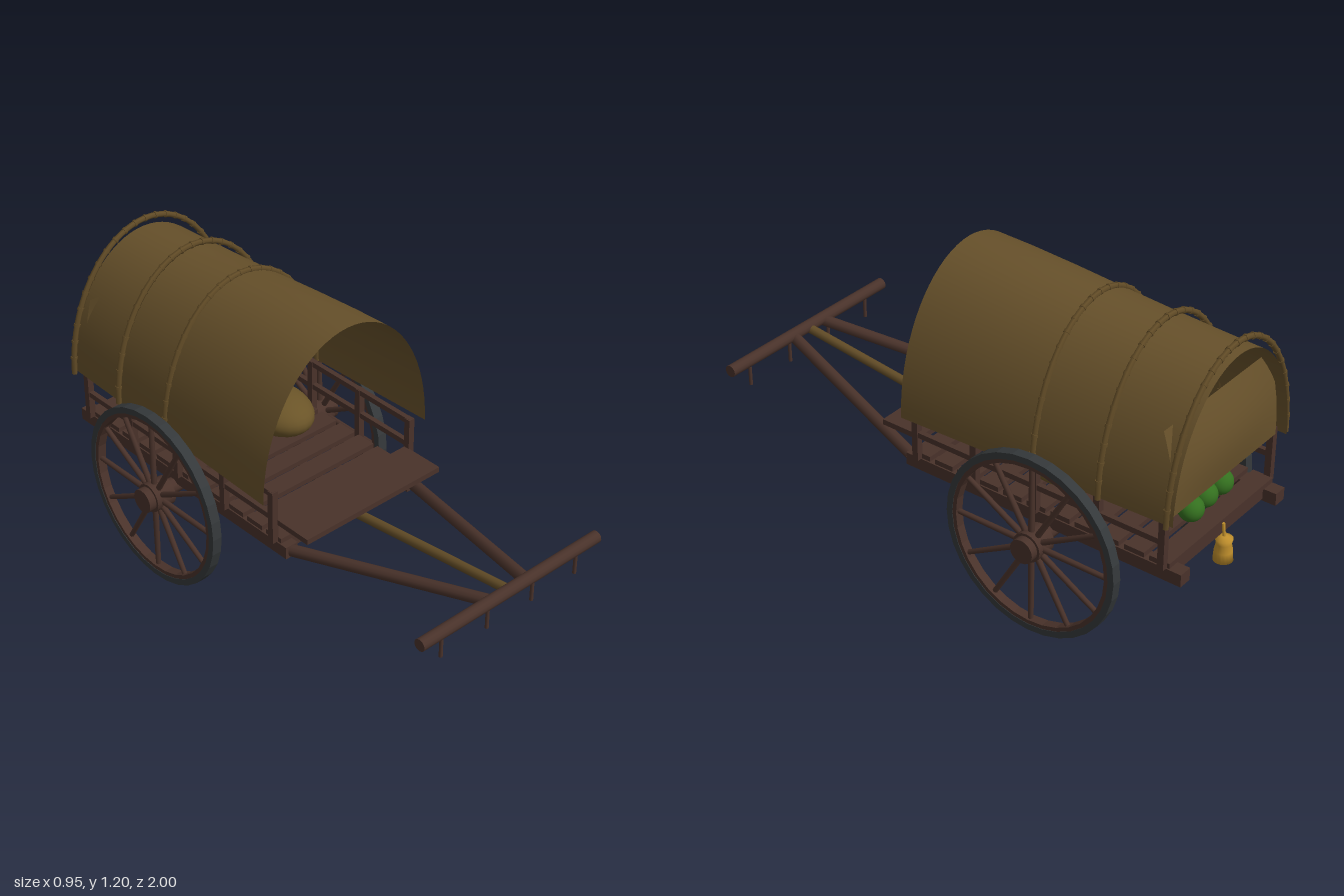
import * as THREE from 'three';

const mat = (name, color, double = false) => {
  const m = new THREE.MeshStandardMaterial({ color });
  m.name = name;
  if (double) m.side = THREE.DoubleSide;
  return m;
};

export function createModel() {
  const cart = new THREE.Group();
  cart.name = 'coveredCart';
  const wood = mat('darkWood', 0x49322a);
  const iron = mat('tyreIron', 0x34383a);
  const cloth = mat('canvas', 0x66502a, true);
  const bamboo = mat('bamboo', 0x614b26);
  const sackCloth = mat('sackCloth', 0x6a5428);
  const green = mat('melonGreen', 0x34701f);
  const gold = mat('lanternGold', 0xc08f2c);

  const add = (name, geo, m, x = 0, y = 0, z = 0, parent = cart) => {
    const mesh = new THREE.Mesh(geo, m);
    mesh.name = name;
    mesh.position.set(x, y, z);
    parent.add(mesh);
    return mesh;
  };
  const box = (name, w, h, d, x, y, z, m = wood) =>
    add(name, new THREE.BoxGeometry(w, h, d), m, x, y, z);
  // Round pole between two points
  const pole = (name, a, b, r, m = wood, parent = cart, sides = 10, r2 = r) => {
    const p = new THREE.Vector3(...a), q = new THREE.Vector3(...b);
    const mesh = add(name, new THREE.CylinderGeometry(r2, r, p.distanceTo(q), sides), m, 0, 0, 0, parent);
    mesh.position.copy(p).add(q).multiplyScalar(0.5);
    mesh.quaternion.setFromUnitVectors(new THREE.Vector3(0, 1, 0), q.sub(p).normalize());
    return mesh;
  };
  // Faceted square-section ring around the x axis
  const ring = (name, inner, outer, width, m, parent) => {
    const w = width / 2;
    const pts = [[outer, -w], [outer, w], [inner, w], [inner, -w], [outer, -w]]
      .map(([r, y]) => new THREE.Vector2(r, y));
    const geo = new THREE.LatheGeometry(pts, 32).toNonIndexed();
    geo.computeVertexNormals();
    add(name, geo, m, 0, 0, 0, parent).rotation.z = Math.PI / 2;
  };

  // Wheels and axle
  const axleY = 0.363, axleZ = -0.44;
  pole('axle', [-0.42, 0.367, axleZ], [0.42, 0.367, axleZ], 0.032);
  for (const s of [-1, 1]) {
    const wheel = new THREE.Group();
    wheel.name = s > 0 ? 'leftWheel' : 'rightWheel';
    wheel.position.set(s * 0.415, axleY, axleZ);
    cart.add(wheel);
    ring('tyre', 0.338, 0.363, 0.04, iron, wheel);
    ring('felloe', 0.322, 0.339, 0.036, wood, wheel);
    for (let i = 0; i < 12; i++) {
      const a = (i / 12) * Math.PI * 2, c = Math.cos(a), n = Math.sin(a);
      pole('spoke', [0, c * 0.04, n * 0.04], [0, c * 0.33, n * 0.33], 0.012, wood, wheel, 8, 0.01);
    }
    pole('hub', [-s * 0.055, 0, 0], [s * 0.03, 0, 0], 0.058, wood, wheel, 16);
    pole('hubCap', [s * 0.03, 0, 0], [s * 0.06, 0, 0], 0.048, wood, wheel, 16);
  }

  // Bed: long beams, cross beams, slats and front board
  for (const s of [-1, 1]) box('sideBeam', 0.055, 0.05, 1.2, s * 0.3, 0.41, -0.4);
  for (const z of [0.14, -0.92]) box('crossBeam', 0.65, 0.04, 0.05, 0, 0.412, z);
  for (let i = 0; i < 11; i++) box('bedSlat', 0.65, 0.02, 0.082, 0, 0.448, 0.13 - i * 0.104);
  box('frontBoard', 0.65, 0.022, 0.18, 0, 0.522, 0.22);

  // Side railings
  for (const s of [-1, 1]) {
    for (let i = 0; i < 5; i++) box('railPost', 0.026, 0.22, 0.026, s * 0.335, 0.548, 0.14 - i * 0.267);
    for (const y of [0.547, 0.648]) box('sideRail', 0.02, 0.022, 1.08, s * 0.335, y, -0.393);
  }

  // Draw shafts, centre pole and yoke with pins
  for (const s of [-1, 1]) pole('drawShaft', [s * 0.3, 0.412, 0.2], [s * 0.085, 0.527, 0.97], 0.023);
  pole('centrePole', [0, 0.425, 0.14], [0, 0.53, 0.975], 0.018, bamboo);
  pole('yoke', [-0.433, 0.537, 0.976], [0.433, 0.537, 0.976], 0.024, wood, cart, 12);
  for (const x of [-0.33, -0.11, 0.11, 0.33]) pole('yokePin', [x, 0.43, 0.976], [x, 0.535, 0.976], 0.007);

  // Canvas cover: an elliptical arch that narrows and drops to the rear
  const stations = [[0.16, 1.2], [0.0, 1.195], [-0.2, 1.182], [-0.4, 1.165],
    [-0.6, 1.15], [-0.8, 1.138], [-0.975, 1.13]];
  const baseY = 0.635, arcs = 36;
  const pos = [], idx = [];
  stations.forEach(([z, top], i) => {
    const half = 0.395 - (0.04 * (0.16 - z)) / 1.135;
    for (let j = 0; j <= arcs; j++) {
      const a = (j / arcs) * Math.PI;
      pos.push(half * Math.cos(a), baseY + (top - baseY) * Math.sin(a), z);
      if (i && j) {
        const d = i * (arcs + 1) + j, c = d - 1, b = d - arcs - 1, e = b - 1;
        idx.push(e, c, b, b, c, d);
      }
    }
  });
  const cover = new THREE.BufferGeometry();
  cover.setAttribute('position', new THREE.Float32BufferAttribute(pos, 3));
  cover.setIndex(idx);
  cover.computeVertexNormals();
  add('canvasCover', cover, cloth);

  // Bamboo hoops over the cover
  const hoopPts = [];
  for (let j = 0; j <= 24; j++) {
    const a = (j / 24) * Math.PI;
    hoopPts.push(new THREE.Vector3(0.374 * Math.cos(a), baseY + 0.535 * Math.sin(a), 0));
  }
  const hoop = new THREE.TubeGeometry(new THREE.CatmullRomCurve3(hoopPts), 48, 0.011, 6);
  for (const z of [-0.41, -0.685, -0.96]) {
    add('coverHoop', hoop, bamboo, 0, 0, z);
    for (let j = 1; j < 24; j++) {
      const p = hoopPts[j];
      const t = hoopPts[j + 1].clone().sub(hoopPts[j - 1]).normalize().multiplyScalar(0.005);
      pole('hoopKnot', [p.x - t.x, p.y - t.y, z], [p.x + t.x, p.y + t.y, z], 0.0135, bamboo, cart, 6);
    }
  }

  // Rear curtain, gently bulging and leaning
  const curtain = new THREE.PlaneGeometry(0.64, 0.32, 12, 8);
  const cp = curtain.attributes.position;
  for (let i = 0; i < cp.count; i++) {
    const v = cp.getY(i) / 0.32 + 0.5, u = cp.getX(i) / 0.32;
    cp.setZ(i, 0.05 * v - 0.03 * Math.sin(v * Math.PI) * (1 - 0.5 * u * u));
  }
  curtain.computeVertexNormals();
  add('rearCurtain', curtain, cloth, 0, 0.805, -0.95);

  // Cargo: sacks and melons
  const ball = new THREE.SphereGeometry(1, 24, 16);
  for (const [x, z, r] of [[-0.13, -0.35, 0.125], [0.13, -0.37, 0.125], [0, -0.63, 0.14]])
    add('sack', ball, sackCloth, x, 0.54, z).scale.set(r, 0.084, 0.17);
  for (const [x, z] of [[0.08, -0.87], [-0.02, -0.86], [-0.12, -0.86], [0.03, -0.77], [-0.08, -0.76]])
    add('melon', ball, green, x, 0.515, z).scale.setScalar(0.048);

  // Hanging lantern at the rear
  const lantern = [[0, 0], [0.037, 0], [0.034, 0.04], [0.028, 0.07], [0.033, 0.09], [0.012, 0.1], [0, 0.1]];
  add('lantern', new THREE.LatheGeometry(lantern.map(([r, y]) => new THREE.Vector2(r, y)), 16),
    gold, 0, 0.295, -0.962);
  pole('lanternHook', [0, 0.39, -0.962], [0, 0.445, -0.955], 0.006, gold);
  return cart;
}
